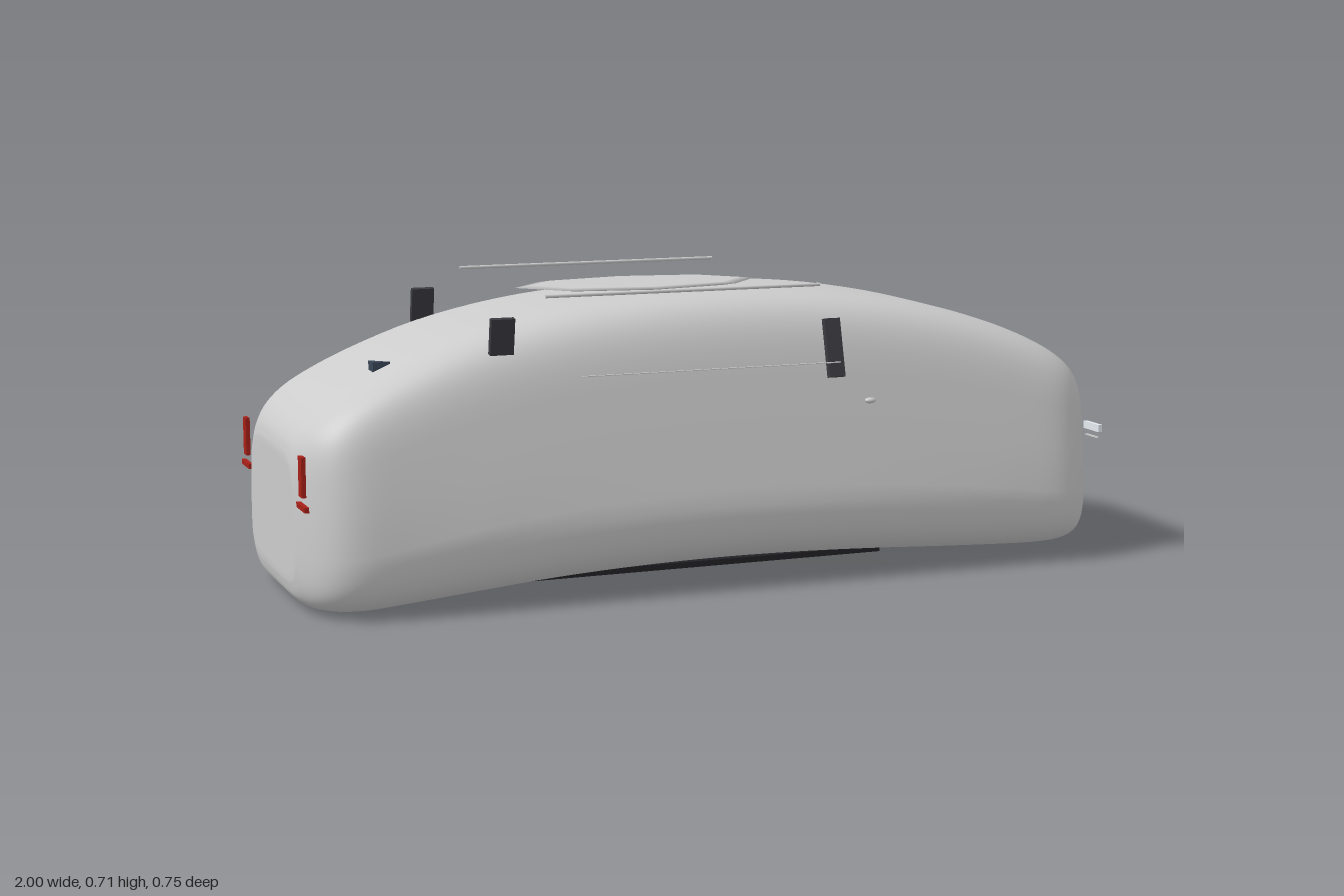
import * as THREE from 'three';

const mat = (color) => new THREE.MeshStandardMaterial({ color });
const grey = mat(0xcccccc);
const dark = mat(0x3a3a40);
const black = mat(0x222226);
const red = mat(0xa82018);
const lamp = mat(0xe4eaf0);
const glass = mat(0x3a4658);

function add(group, name, geometry, material, x, y, z) {
  const mesh = new THREE.Mesh(geometry, material);
  mesh.name = name;
  mesh.position.set(x, y, z);
  group.add(mesh);
  return mesh;
}
const box = (w, h, d) => new THREE.BoxGeometry(w, h, d);

// Side profile of the shell: x, underside height, roof height
const profile = [
  [-1, 0.07, 0.36], [-0.99, 0.035, 0.395], [-0.965, 0.015, 0.43], [-0.92, 0.006, 0.467], [-0.85, 0.004, 0.508],
  [-0.75, 0.011, 0.555], [-0.6, 0.024, 0.61], [-0.4, 0.041, 0.655], [-0.2, 0.051, 0.677], [0, 0.055, 0.685],
  [0.2, 0.053, 0.68], [0.4, 0.046, 0.662], [0.6, 0.036, 0.626], [0.75, 0.03, 0.583], [0.85, 0.028, 0.543],
  [0.92, 0.032, 0.505], [0.965, 0.043, 0.47], [0.99, 0.065, 0.435], [1, 0.1, 0.4],
];

// Half width at a height: full low down, leaning inwards above
const halfWidth = (y) => 0.357 - 0.18 * Math.max(0, y - 0.2);

// Shell lofted from rounded sections, closed by flat ends
function shellGeometry() {
  const curve = new THREE.CatmullRomCurve3(profile.map((p) => new THREE.Vector3(...p)));
  const steps = (profile.length - 1) * 4;
  const rings = [];
  for (let i = 0; i <= steps; i++) rings.push([curve.getPoint(i / steps), 1]);
  const first = rings[0][0], last = rings[steps][0];
  rings.unshift([first, 0], [first, 0.5], [first, 0.9]);
  rings.push([last, 0.9], [last, 0.5], [last, 0]);

  const n = 72, pos = [], index = [];
  const power = (v) => Math.sign(v) * Math.abs(v) ** 0.37;
  rings.forEach(([p, shrink], i) => {
    const x = THREE.MathUtils.clamp(p.x, -1, 1);
    const t = Math.min((1 - Math.abs(x)) / 0.25, 1);
    const endScale = 0.62 + 0.38 * (1 - (1 - t) ** 5);
    for (let j = 0; j < n; j++) {
      const a = (j / n) * Math.PI * 2;
      const y = (p.y + p.z) / 2 + ((p.z - p.y) / 2) * power(Math.sin(a)) * shrink;
      pos.push(x, y, halfWidth(y) * endScale * power(Math.cos(a)) * shrink);
      if (i === rings.length - 1) continue;
      const k = (j + 1) % n, r = i * n, s = r + n;
      index.push(r + j, s + j, s + k, r + j, s + k, r + k);
    }
  });
  const g = new THREE.BufferGeometry();
  g.setAttribute('position', new THREE.Float32BufferAttribute(pos, 3));
  g.setIndex(index);
  g.computeVertexNormals();
  return g;
}

export function createModel() {
  const model = new THREE.Group();
  model.name = 'car';
  add(model, 'bodyShell', shellGeometry(), grey, 0, 0, 0);

  // Roof panel: very flat eight-sided dome
  add(model, 'roofPanel', new THREE.SphereGeometry(1, 8, 6), grey, -0.105, 0.693, 0).scale.set(0.305, 0.008, 0.14);

  // Tip of the rear window
  const tip = new THREE.Shape([[-0.795, -0.15], [-0.755, -0.15], [-0.795, -0.11]].map((p) => new THREE.Vector2(...p)));
  const tipGeometry = new THREE.ExtrudeGeometry(tip, { depth: 0.03, bevelEnabled: false }).rotateX(-Math.PI / 2);
  add(model, 'rearWindowTip', tipGeometry, glass, 0, 0.526, 0);

  for (const [side, s] of [['left', -1], ['right', 1]].map(([n, v]) => [n, v])) {
    const flank = new THREE.Group();
    // Ends facing +x carry the lamps, so z < 0 is listed first
    flank.name = side + 'SideFittings';
    model.add(flank);

    // Roof rail, waist trim and handle
    add(flank, 'roofRail', new THREE.CylinderGeometry(0.004, 0.004, 0.67, 8).rotateZ(Math.PI / 2), grey, -0.11, 0.71, s * 0.33);
    add(flank, 'waistTrim', box(0.635, 0.002, 0.006), grey, -0.052, 0.53, s * 0.362);
    add(flank, 'doorHandle', new THREE.SphereGeometry(1, 12, 8), grey, 0.342, 0.436, s * 0.365).scale.set(0.014, 0.007, 0.009);

    // Tilted window pillars
    add(flank, 'frontPillar', box(0.04, 0.138, 0.015), dark, 0.265, 0.559, s * 0.325).rotation.x = -0.26;
    add(flank, 'rearPillar', box(0.055, 0.083, 0.015), dark, -0.545, 0.624, s * 0.322).rotation.x = 0.17;

    // Lamps
    add(flank, 'headlamp', box(0.01, 0.018, 0.072), lamp, 0.99, 0.322, s * 0.285);
    add(flank, 'headlampTrim', box(0.006, 0.003, 0.06), grey, 0.99, 0.298, s * 0.285);
    add(flank, 'tailLamp', box(0.01, 0.09, 0.03), red, -0.994, 0.332, s * 0.285);
    add(flank, 'tailLampBar', box(0.01, 0.012, 0.08), red, -0.994, 0.264, s * 0.285);
  }

  // Bumper strip
  add(model, 'bumperStrip', box(0.012, 0.007, 0.315), lamp, 0.991, 0.077, 0);

  // Underside plate with a stub at each end
  add(model, 'floorPlate', box(0.9, 0.014, 0.41), black, 0, 0.041, 0);
  for (const s of [-1, 1]) {
    add(model, 'floorStub', new THREE.CylinderGeometry(0.011, 0.011, 0.1, 12).rotateZ(Math.PI / 2), dark, s * 0.48, 0.044, 0);
  }
  return model;
}
